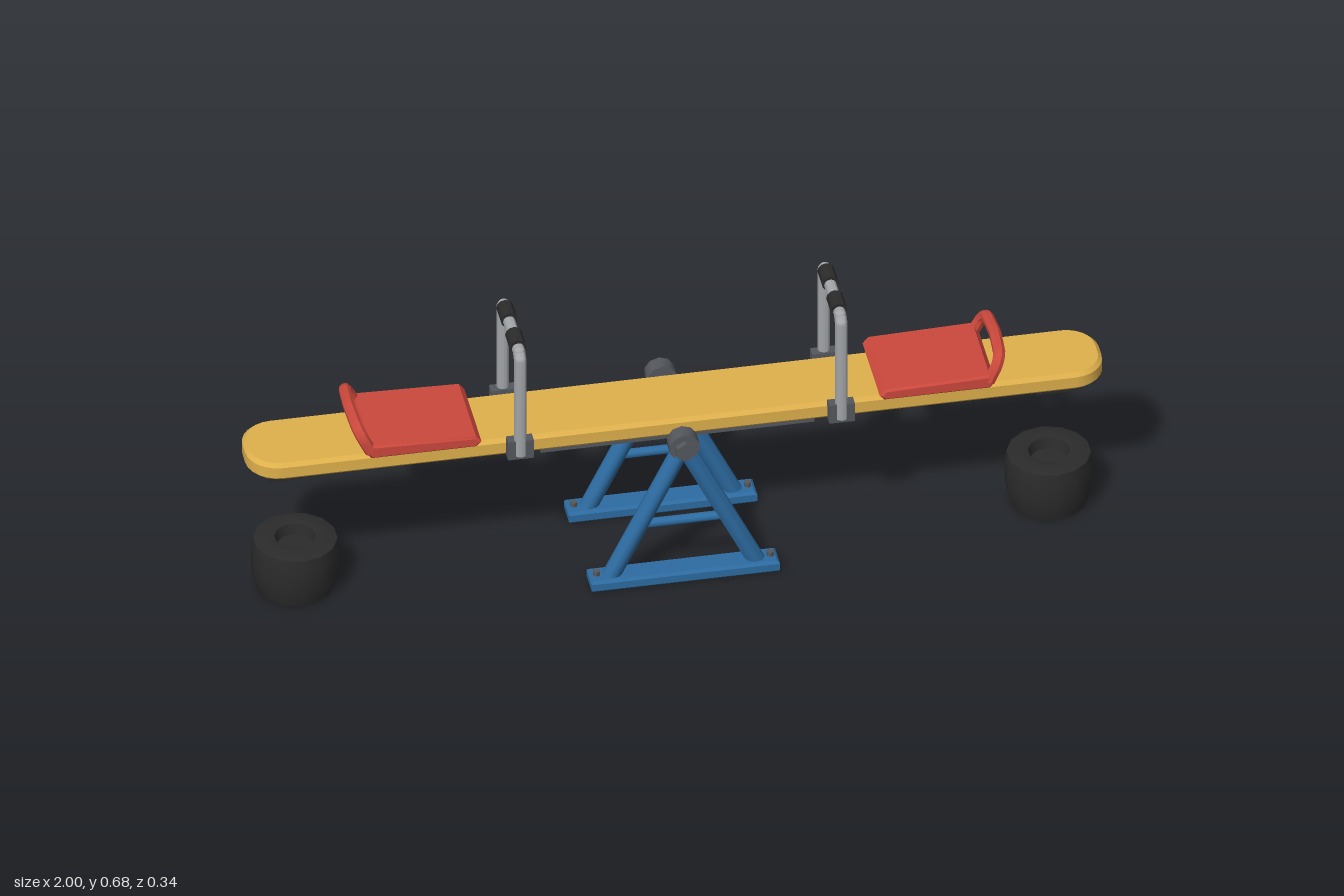
import * as THREE from 'three';
import { toCreasedNormals } from 'three/addons/utils/BufferGeometryUtils.js';

const paint = (name, color) => Object.assign(new THREE.MeshStandardMaterial({ color }), { name });
const V = (x, y, z) => new THREE.Vector3(x, y, z);

export function createModel() {
  const yellow = paint('plank yellow', 0xdeb04c);
  const red = paint('seat red', 0xcb483c);
  const blue = paint('frame blue', 0x2d6ca2);
  const steel = paint('handle steel', 0xa3a6a9);
  const iron = paint('dark iron', 0x54575c);
  const rubber = paint('black rubber', 0x2b2b2b);

  const root = new THREE.Group();
  root.name = 'seesaw';

  const add = (parent, name, geometry, material, x = 0, y = 0, z = 0) => {
    const mesh = new THREE.Mesh(toCreasedNormals(geometry, 0.7), material);
    mesh.name = name;
    mesh.position.set(x, y, z);
    parent.add(mesh);
    return mesh;
  };
  // Round bar between two points
  const bar = (parent, name, a, b, r, material, sides = 12) => {
    const mesh = add(parent, name, new THREE.CylinderGeometry(r, r, a.distanceTo(b), sides), material);
    mesh.position.copy(a).add(b).multiplyScalar(0.5);
    mesh.quaternion.setFromUnitVectors(V(0, 1, 0), b.clone().sub(a).normalize());
    return mesh;
  };
  // Outline in x/y extruded along z with chamfered edges, overall depth kept
  const slab = (points, depth, bevel) => {
    const shape = new THREE.Shape(points.map(([x, y]) => new THREE.Vector2(x, y)));
    const g = new THREE.ExtrudeGeometry(shape, {
      depth: depth - 2 * bevel, bevelThickness: bevel, bevelSize: bevel, bevelOffset: -bevel, bevelSegments: 1,
    });
    return g.translate(0, 0, bevel - depth / 2);
  };
  const rect = (w, h) => [[-w / 2, -h / 2], [w / 2, -h / 2], [w / 2, h / 2], [-w / 2, h / 2]];

  // Plank with rounded ends
  const outline = [];
  const hw = 0.092, cr = 0.075;
  [[1, 1], [-1, 1], [-1, -1], [1, -1]].forEach(([sx, sy], q) => {
    for (let i = 0; i <= 6; i++) {
      const a = (q + i / 6) * Math.PI / 2;
      outline.push([sx * (1 - cr) + cr * Math.cos(a), sy * (hw - cr) + cr * Math.sin(a)]);
    }
  });
  add(root, 'plank', slab(outline, 0.046, 0.009).rotateX(-Math.PI / 2), yellow, 0, 0.386, 0);
  add(root, 'underPlate', new THREE.BoxGeometry(0.64, 0.02, 0.138), iron, 0, 0.353, 0);

  // One rider end, built on +x and turned round for the other
  const buildEnd = (name) => {
    const end = new THREE.Group();
    end.name = name;
    add(end, 'bumperPad', new THREE.BoxGeometry(0.11, 0.03, 0.11), rubber, 0.895, 0.35, 0);

    const seat = [[0.465, 0.421], [0.476, 0.409], [0.722, 0.409], [0.735, 0.424], [0.722, 0.444], [0.478, 0.437]];
    add(end, 'seat', slab(seat, 0.218, 0.005), red);
    const half = [[0.722, 0.424, 0.098], [0.74, 0.46, 0.094], [0.75, 0.48, 0.076], [0.754, 0.486, 0]];
    const loop = [...half, ...half.slice(0, 3).reverse().map(([x, y, z]) => [x, y, -z])];
    const curve = new THREE.CatmullRomCurve3(loop.map((p) => V(...p)), false, 'catmullrom', 0.15);
    add(end, 'seatBack', new THREE.TubeGeometry(curve, 32, 0.0145, 8), red);

    // Handle: two posts, chamfered corners and a top bar with grips
    const hx = 0.375, r = 0.0145, topY = 0.655;
    for (const s of [1, -1]) {
      bar(end, 'handlePost', V(hx, 0.375, s * 0.107), V(hx, 0.642, s * 0.107), r, steel);
      bar(end, 'handleCorner', V(hx, 0.638, s * 0.107), V(hx, topY, s * 0.092), r, steel);
      add(end, 'handleJoint', new THREE.SphereGeometry(r, 12, 8), steel, hx, 0.641, s * 0.107);
      add(end, 'handleJoint', new THREE.SphereGeometry(r, 12, 8), steel, hx, topY, s * 0.093);
      bar(end, 'grip', V(hx, topY + 0.003, s * 0.027), V(hx, topY + 0.003, s * 0.08), 0.02, rubber);
      add(end, 'handleClamp', new THREE.BoxGeometry(0.06, 0.05, 0.026), iron, hx, 0.391, s * 0.102);
    }
    bar(end, 'handleBar', V(hx, topY, -0.093), V(hx, topY, 0.093), r, steel);

    // Half-buried tyre with a recessed centre
    const profile = [[0, 0], [0.089, 0], [0.097, 0.025], [0.102, 0.06], [0.101, 0.11], [0.097, 0.132],
      [0.065, 0.14], [0.048, 0.136], [0.042, 0.11], [0, 0.11]];
    add(end, 'tyre', new THREE.LatheGeometry(profile.map(([x, y]) => new THREE.Vector2(x, y)), 14), rubber, 0.88, 0, 0);
    root.add(end);
    return end;
  };
  buildEnd('leftEnd');
  buildEnd('rightEnd').rotation.y = Math.PI;

  // Axle and the two A-frames
  const axleY = 0.37;
  bar(root, 'axle', V(0, axleY, -0.16), V(0, axleY, 0.16), 0.017, iron);
  for (const s of [1, -1]) {
    const frame = new THREE.Group();
    frame.name = s > 0 ? 'frontFrame' : 'backFrame';
    const z = s * 0.137;
    add(frame, 'baseRail', slab(rect(0.44, 0.062), 0.03, 0.006).rotateX(-Math.PI / 2), blue, 0, 0.015, z);
    for (const t of [1, -1]) {
      bar(frame, 'leg', V(t * 0.172, 0.018, z), V(t * 0.008, 0.355, z), 0.021, blue);
      add(frame, 'railBolt', new THREE.CylinderGeometry(0.009, 0.009, 0.014, 6), iron, t * 0.203, 0.034, z);
    }
    bar(frame, 'crossBar', V(-0.1, 0.16, z), V(0.1, 0.16, z), 0.011, blue);
    bar(frame, 'hub', V(0, axleY + 0.003, s * 0.117), V(0, axleY + 0.003, s * 0.155), 0.036, iron, 10);
    bar(frame, 'hubNut', V(0, axleY, s * 0.15), V(0, axleY, s * 0.169), 0.024, iron, 6);
    root.add(frame);
  }
  return root;
}
